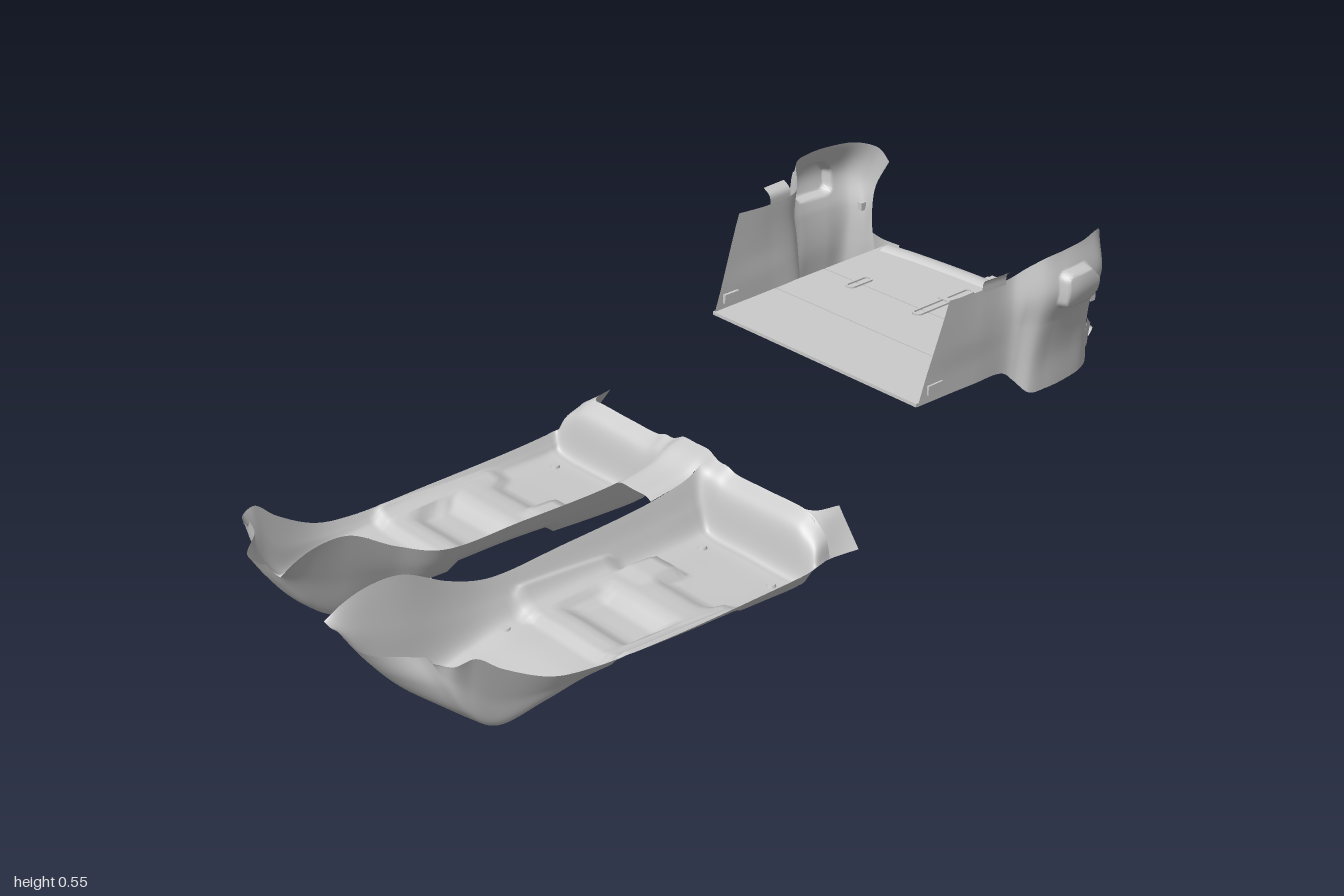
import * as THREE from 'three';

const material = new THREE.MeshStandardMaterial({ color: 0xcccccc, side: THREE.DoubleSide });
const V = (x, y, z) => new THREE.Vector3(x, y, z);

function add(parent, name, geometry, x = 0, y = 0, z = 0) {
  const mesh = new THREE.Mesh(geometry, material);
  mesh.name = name;
  mesh.position.set(x, y, z);
  parent.add(mesh);
  return mesh;
}

// Smooth thin sheet through a grid of control points; deform adjusts each vertex.
function sheet(rows, nu, nv, deform = () => {}) {
  const rails = rows[0].map((_, j) => new THREE.CatmullRomCurve3(rows.map(r => r[j]), false, 'centripetal'));
  const pos = [], index = [];
  for (let i = 0; i <= nu; i++) {
    const across = new THREE.CatmullRomCurve3(rails.map(c => c.getPoint(i / nu)), false, 'centripetal');
    for (let j = 0; j <= nv; j++) {
      const p = across.getPoint(j / nv);
      deform(p);
      pos.push(p.x, p.y, p.z);
      if (i < nu && j < nv) {
        const a = i * (nv + 1) + j, b = a + nv + 1;
        index.push(a, b, a + 1, b, b + 1, a + 1);
      }
    }
  }
  const g = new THREE.BufferGeometry();
  g.setAttribute('position', new THREE.Float32BufferAttribute(pos, 3));
  g.setIndex(index);
  g.computeVertexNormals();
  return g;
}

// 1 inside a rounded rectangle, fading to 0 outside it.
function pad(u, v, cu, cv, hu, hv, r = 0.015, soft = 0.012) {
  const a = Math.abs(u - cu) - hu + r, b = Math.abs(v - cv) - hv + r;
  const d = Math.hypot(Math.max(a, 0), Math.max(b, 0)) + Math.min(Math.max(a, b), 0) - r;
  return 1 - THREE.MathUtils.smoothstep(d, -soft / 2, soft / 2);
}

// x, floor height, outer edge height, inner edge height, outer z, inner z, setback of outer corner
const stations = [
  [-1.0, 0.185, 0.19, 0.195, 0.34, 0.085, 0.07],
  [-0.96, 0.125, 0.19, 0.215, 0.37, 0.085, 0.05],
  [-0.9, 0.055, 0.195, 0.23, 0.38, 0.085, 0.03],
  [-0.82, 0.006, 0.15, 0.225, 0.385, 0.085, 0.01],
  [-0.7, 0.018, 0.09, 0.16, 0.395, 0.08, 0],
  [-0.6, 0.032, 0.07, 0.125, 0.4, 0.075, 0],
  [-0.4, 0.032, 0.062, 0.12, 0.41, 0.066, 0],
  [-0.15, 0.02, 0.06, 0.122, 0.415, 0.056, 0],
  [-0.05, 0.018, 0.062, 0.138, 0.418, 0.054, 0],
  [-0.03, 0.022, 0.064, 0.145, 0.418, 0.054, 0],
  [-0.005, 0.125, 0.066, 0.16, 0.415, 0.054, 0],
  [0.03, 0.152, 0.068, 0.17, 0.41, 0.054, 0],
];
// Seat mounts and cross beams on the floor: x, z, half x, half z, height
const mounts = [
  [-0.31, 0.25, 0.05, 0.13, 0.018],
  [-0.25, 0.165, 0.05, 0.04, 0.025],
  [-0.51, 0.25, 0.035, 0.12, 0.012],
  [-0.38, 0.375, 0.16, 0.025, 0.016],
  [-0.41, 0.26, 0.05, 0.09, -0.008],
  [-0.42, 0.12, 0.13, 0.03, 0.016],
];

function footwell(side) {
  const group = new THREE.Group();
  group.name = side > 0 ? 'leftFootwell' : 'rightFootwell';
  const rows = stations.map(([x, yf, yo, yi, zo, zi, dx]) => {
    if (side < 0 && x < -0.65) {
      x = Math.max(x, -1) + 0.03 * (-0.65 - x) / 0.35;
      yf += 0.01;
      zi += 0.02;
    }
    const step = x > -0.01 ? 1 : 0;
    return [
      V(x + dx, yo, zo),
      V(x + dx, (yo + yf) / 2, zo - 0.012),
      V(x + dx, yf + 0.008 - step * 0.02, zo - 0.022 - step * 0.02),
      V(x + dx * 0.9, yf, zo - 0.05 - step * 0.02),
      V(x, yf, 0.22),
      V(x, yf, zi + 0.07),
      V(x, yf + 0.008, zi + 0.045),
      V(x, (yf + yi) / 2, zi + 0.02),
      V(x, yi, zi),
    ].map(p => V(p.x, p.y, p.z * side));
  });
  add(group, 'floorCarpet', sheet(rows, 150, 72, p => {
    let lift = 0;
    for (const [x, z, hx, hz, h] of mounts) {
      const l = h * pad(p.x, Math.abs(p.z), x, z, hx, hz);
      if (Math.abs(l) > Math.abs(lift)) lift = l;
    }
    p.y += lift;
  }));
  // Curved wing at the rear outer corner
  add(group, 'rearWing', sheet([
    [V(0.025, 0.152, 0.32), V(0.025, 0.14, 0.365), V(0.02, 0.066, 0.41)],
    [V(0.045, 0.15, 0.35), V(0.045, 0.135, 0.375), V(0.045, 0.066, 0.412)],
    [V(0.1, 0.148, 0.365), V(0.1, 0.125, 0.382), V(0.1, 0.068, 0.425)],
  ].map(r => r.map(p => V(p.x, p.y, p.z * side))), 12, 12));
  for (const [x, z, y] of [[-0.605, 0.35, 0.034], [-0.605, 0.13, 0.034], [-0.08, 0.35, 0.021], [-0.08, 0.14, 0.021]])
    add(group, 'fastener', new THREE.CylinderGeometry(0.009, 0.011, 0.006, 16), x, y, z * side);
  return group;
}

// Boot side columns: bottom x, y, top x, y, then z from bottom to top
const columns = [
  [0.38, 0.265, 0.46, 0.492, 0.32, 0.32, 0.322, 0.324, 0.325],
  [0.55, 0.262, 0.56, 0.486, 0.322, 0.323, 0.327, 0.328, 0.327],
  [0.65, 0.257, 0.65, 0.492, 0.325, 0.33, 0.335, 0.338, 0.333],
  [0.675, 0.235, 0.67, 0.51, 0.335, 0.342, 0.35, 0.362, 0.35],
  [0.7, 0.207, 0.7, 0.538, 0.36, 0.365, 0.377, 0.395, 0.382],
  [0.75, 0.205, 0.75, 0.545, 0.368, 0.37, 0.385, 0.41, 0.39],
  [0.82, 0.205, 0.82, 0.547, 0.366, 0.368, 0.382, 0.407, 0.385],
  [0.88, 0.208, 0.885, 0.545, 0.358, 0.36, 0.368, 0.392, 0.365],
  [0.915, 0.215, 0.935, 0.525, 0.342, 0.346, 0.35, 0.365, 0.338],
  [0.925, 0.235, 0.955, 0.49, 0.322, 0.33, 0.338, 0.342, 0.322],
];

function bootSide(side) {
  const group = new THREE.Group();
  group.name = side > 0 ? 'leftBootLining' : 'rightBootLining';
  const rows = columns.map(([xb, yb, xt, yt, ...zs], i) => zs.map((z, j) => {
    const t = j / 4;
    const widen = side < 0 && i > 3 && i < 8 ? 0.035 * (1 - t) : 0;
    const tuck = i > 7 ? -0.022 * Math.sin(Math.PI * t) : 0;
    return V(THREE.MathUtils.lerp(xb, xt, t) + tuck, THREE.MathUtils.lerp(yb, yt, t), side * (z + widen));
  }));
  // Wall with a recessed storage pocket that slants at its rear top corner
  add(group, 'sideWall', sheet(rows, 110, 80, p => {
    const cut = THREE.MathUtils.smoothstep(p.x + p.y, 1.305, 1.32);
    p.z += side * 0.02 * pad(p.x, p.y, 0.787, 0.458, 0.057, 0.042, 0.02, 0.007) * (1 - cut);
  }));
  // Bent tab on the upper edge
  add(group, 'upperTab', sheet([
    [V(0.562, 0.48, 0.327 * side), V(0.562, 0.505, 0.33 * side), V(0.562, 0.52, 0.35 * side)],
    [V(0.632, 0.48, 0.332 * side), V(0.632, 0.505, 0.335 * side), V(0.632, 0.52, 0.355 * side)],
  ], 2, 8));
  // Small anchors near the floor and on the wall
  add(group, 'floorAnchor', new THREE.BoxGeometry(0.045, 0.022, 0.012), 0.43, 0.295, 0.319 * side);
  add(group, 'rearAnchor', new THREE.BoxGeometry(0.016, 0.02, 0.014), 0.9, 0.38, 0.356 * side);
  // Lower corner bracket meeting the sill
  add(group, 'cornerBracket', sheet([
    [V(0.915, 0.315, 0.34 * side), V(0.945, 0.29, 0.325 * side), V(0.98, 0.27, 0.3 * side)],
    [V(0.915, 0.23, 0.335 * side), V(0.94, 0.24, 0.325 * side), V(0.965, 0.245, 0.3 * side)],
  ], 4, 10));
  return group;
}

function pullHandle(parent, x, z, length) {
  const shape = new THREE.Shape();
  const r = 0.014, h = length / 2 - r;
  shape.absarc(h, 0, r, -Math.PI / 2, Math.PI / 2);
  shape.absarc(-h, 0, r, Math.PI / 2, Math.PI * 1.5);
  const hole = new THREE.Path();
  hole.absarc(h, 0, r * 0.6, -Math.PI / 2, Math.PI / 2);
  hole.absarc(-h, 0, r * 0.6, Math.PI / 2, Math.PI * 1.5);
  shape.holes.push(hole);
  const g = new THREE.ExtrudeGeometry(shape, { depth: 0.005, bevelEnabled: false });
  add(parent, 'pullHandle', g.rotateX(-Math.PI / 2), x, 0.269, z);
}

export function createModel() {
  const model = new THREE.Group();
  model.name = 'carInteriorLining';

  // Front carpet: two footwells joined by a bridge over the tunnel
  const carpet = new THREE.Group();
  carpet.name = 'frontCarpet';
  model.add(carpet);
  carpet.add(footwell(1), footwell(-1));
  const bridge = [[-0.15, 0.122], [-0.05, 0.138], [-0.005, 0.16], [0.03, 0.17]].map(([x, y]) =>
    [0.055, 0.04, 0, -0.04, -0.055].map(z => V(x, y + (Math.abs(z) < 0.05 ? 0.007 : 0), z)));
  add(carpet, 'tunnelBridge', sheet(bridge, 16, 16));

  const boot = new THREE.Group();
  boot.name = 'boot';
  model.add(boot);
  boot.add(bootSide(1), bootSide(-1));

  // Boot floor in three boards with narrow seams
  for (const [a, b] of [[0.38, 0.578], [0.581, 0.743], [0.746, 0.945]])
    add(boot, 'floorBoard', new THREE.BoxGeometry(b - a, 0.008, 0.64), (a + b) / 2, 0.266, -0.005);
  pullHandle(boot, 0.745, 0.21, 0.08);
  pullHandle(boot, 0.745, -0.21, 0.08);
  pullHandle(boot, 0.81, 0, 0.2);
  add(boot, 'handleBar', new THREE.BoxGeometry(0.014, 0.005, 0.05), 0.825, 0.2715, 0);

  // Curved rear sill with lower strips and a latch housing
  const sill = [-0.31, -0.2, 0, 0.2, 0.31].map(z => {
    const dx = -0.2 * z * z;
    return [[0.935, 0.266], [0.952, 0.277], [0.975, 0.276], [0.995, 0.262], [0.982, 0.244]]
      .map(([x, y]) => V(x + dx, y, z));
  });
  add(boot, 'rearSill', sheet(sill, 32, 16));
  for (const s of [1, -1])
    add(boot, 'sillStrip', new THREE.BoxGeometry(0.03, 0.012, 0.23), 0.945, 0.242, 0.185 * s);
  add(boot, 'latchHousing', new THREE.BoxGeometry(0.04, 0.028, 0.06), 0.98, 0.256, 0);
  add(boot, 'latch', new THREE.BoxGeometry(0.024, 0.012, 0.03), 0.986, 0.272, 0);

  return model;
}
